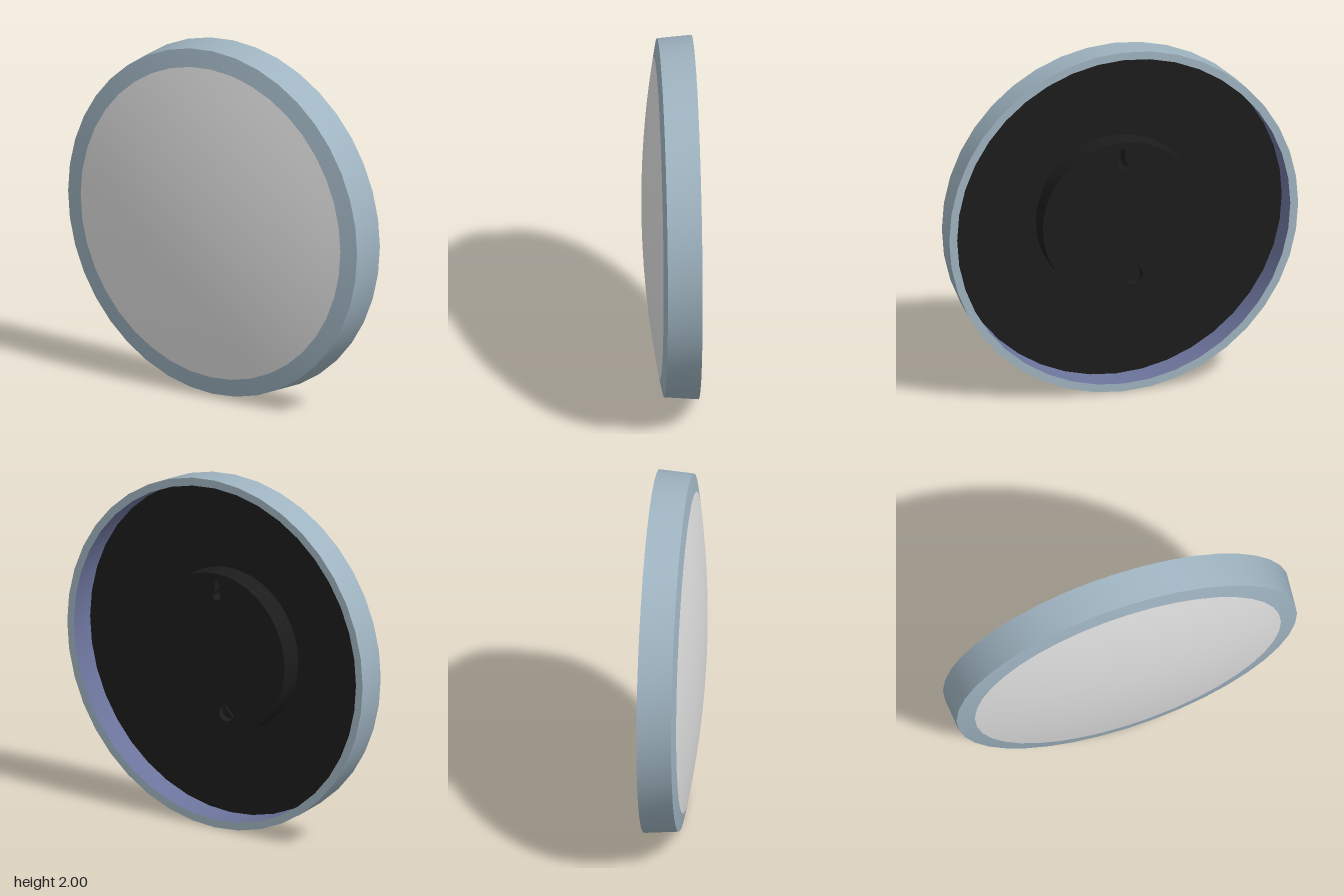
import * as THREE from 'three';
import { toCreasedNormals } from 'three/addons/utils/BufferGeometryUtils.js';

const SEGMENTS = 40;
const BACK = -0.145, RIM_FRONT = 0.045, DOME_TOP = 0.145;
const RIM_R = 0.985, GLASS_R = 0.885, INNER_R = 0.955;
const HUB_BACK = -0.13, HUB_R = 0.46;

function material(name, color) {
  const m = new THREE.MeshStandardMaterial({ color });
  m.name = name;
  return m;
}

// Turned part around the z axis; profile is [radius, z] pairs
function turned(name, profile, mat) {
  const geo = new THREE.LatheGeometry(profile.map(([r, z]) => new THREE.Vector2(r, z)), SEGMENTS);
  geo.rotateX(Math.PI / 2);
  const mesh = new THREE.Mesh(toCreasedNormals(geo, 0.5), mat);
  mesh.name = name;
  return mesh;
}

// Shallow spherical cap height at radius r
const domeZ = (r) => DOME_TOP - (DOME_TOP - RIM_FRONT) * (r / RIM_R) ** 2;
const domeProfile = (from, to, steps) =>
  Array.from({ length: steps + 1 }, (_, i) => {
    const r = from + (to - from) * i / steps;
    return [r, domeZ(r)];
  });

export function createModel() {
  const blue = material('blue grey casing', 0x9fb4c1);
  const inner = material('dark blue lining', 0x6c749c);
  const white = material('pale diffuser', 0xe0e0e0);
  const black = material('black back', 0x1c1c1c);

  const model = new THREE.Group();
  model.name = 'roundDisc';
  const body = new THREE.Group();
  body.name = 'body';
  body.position.y = 1;
  model.add(body);

  // Casing: back lip, slightly tapered outer wall and sloping front bezel
  body.add(turned('casing', [[INNER_R, BACK], [1, BACK], [RIM_R, RIM_FRONT]], blue));
  body.add(turned('frontBezel', domeProfile(RIM_R, GLASS_R, 2), blue));
  body.add(turned('innerWall', [[0.95, 0], [INNER_R, BACK]], inner));

  // Domed front and recessed back
  body.add(turned('frontDome', domeProfile(GLASS_R, 0, 8), white));
  body.add(turned('backPlate', [[0, 0], [0.95, 0]], black));

  // Mounting hub with a keyhole slot and a round screw recess
  const face = new THREE.Shape().absarc(0, 0, HUB_R, 0, Math.PI * 2);
  const keyhole = new THREE.Path();
  keyhole.absarc(0, 0.33, 0.026, Math.PI * 0.3, Math.PI * 0.7, true);
  keyhole.lineTo(-0.012, 0.41);
  keyhole.absarc(0, 0.41, 0.012, Math.PI, 0, true);
  keyhole.closePath();
  const recess = new THREE.Path().absarc(-0.065, -0.33, 0.05, 0, Math.PI * 2, true);
  face.holes.push(keyhole, recess);
  const hubGeo = new THREE.ExtrudeGeometry(face, {
    depth: -HUB_BACK, bevelEnabled: false, curveSegments: 20,
  });
  const hub = new THREE.Mesh(toCreasedNormals(hubGeo, 0.5), black);
  hub.name = 'mountingHub';
  hub.position.z = HUB_BACK;
  body.add(hub);

  // Slotted screw: two half discs with a gap between them
  const screw = new THREE.Group();
  screw.name = 'screw';
  screw.position.set(-0.065, -0.33, HUB_BACK + 0.03);
  screw.rotation.z = Math.PI / 4;
  for (const start of [0, Math.PI]) {
    const half = new THREE.Shape().absarc(0, 0, 0.042, start + 0.12, start + Math.PI - 0.12);
    const mesh = new THREE.Mesh(
      new THREE.ExtrudeGeometry(half, { depth: 0.09, bevelEnabled: false, curveSegments: 10 }), black);
    mesh.name = 'screwHalf';
    screw.add(mesh);
  }
  body.add(screw);

  return model;
}
